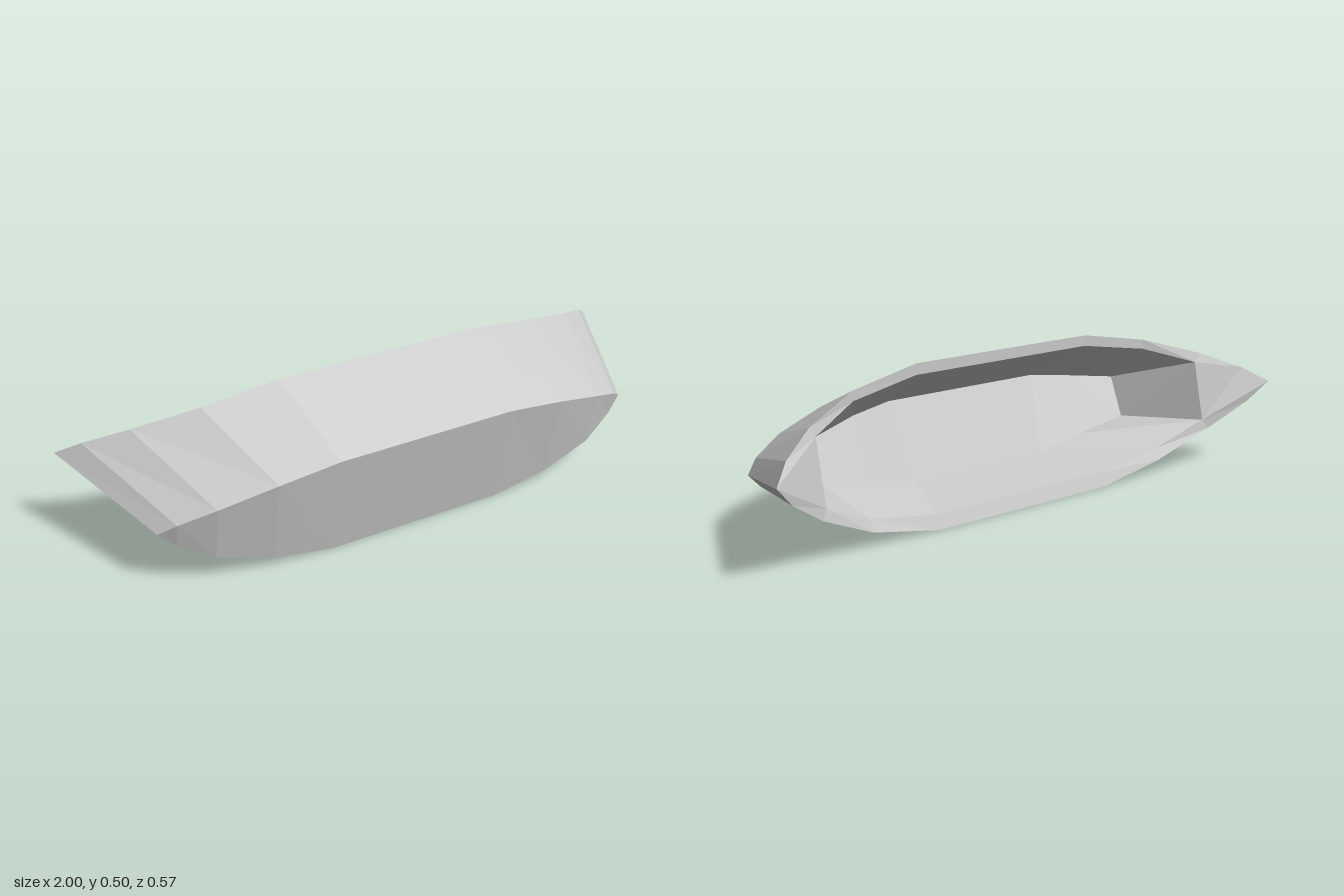
import * as THREE from 'three';

// Right half of each outline, from the lower middle round the end to the upper middle.
const RIM = [
  [0.35, 0, -0.135], [0.6, 0.05, -0.145], [0.8, 0.14, -0.19], [0.93, 0.226, -0.248], [1, 0.296, -0.285],
  [0.93, 0.345, -0.22], [0.8, 0.4, -0.135], [0.6, 0.46, -0.055], [0.35, 0.502, -0.028],
];
const BOTTOM = [
  [0.3, 0, 0.21], [0.5, 0.035, 0.21], [0.68, 0.09, 0.195], [0.79, 0.155, 0.167], [0.84, 0.203, 0.15],
  [0.79, 0.24, 0.187], [0.68, 0.285, 0.235], [0.5, 0.335, 0.275], [0.3, 0.362, 0.285],
];
// The hollow has square ends, so its corner points serve several rim points.
const squareEnd = (low, lowCorner, highCorner, high) =>
  [...low, lowCorner, lowCorner, lowCorner, highCorner, highCorner, ...high];
const OPENING = squareEnd(
  [[0.35, 0.047, -0.12], [0.6, 0.088, -0.13]], [0.78, 0.17, -0.178],
  [0.78, 0.37, -0.135], [[0.6, 0.428, -0.055], [0.35, 0.466, -0.027]],
);
const FLOOR = squareEnd(
  [[0.27, 0.087, 0.1], [0.45, 0.122, 0.093]], [0.64, 0.158, 0.083],
  [0.64, 0.292, 0.138], [[0.45, 0.318, 0.17], [0.3, 0.336, 0.193]],
);

const mirror = (points) => points.map(([x, y, z]) => [-x, y, z]).reverse();

// Full closed outline, counter-clockwise from the front
const ring = (half) => [...half, ...mirror(half), half[0]];

// Lower and upper edges of an outline, both running from -x to +x and meeting at index `end`
const lowerEdge = (half, end) => [...mirror(half.slice(0, end + 1)), ...half.slice(0, end + 1)];
const upperEdge = (half, end) => {
  const side = half.slice(8 - end).reverse();
  return [...mirror(side), ...side];
};

// Faceted strip joining two point rows
function loft(a, b) {
  const positions = [];
  for (let i = 0; i < a.length - 1; i++) {
    positions.push(...a[i], ...a[i + 1], ...b[i], ...a[i + 1], ...b[i + 1], ...b[i]);
  }
  const geometry = new THREE.BufferGeometry();
  geometry.setAttribute('position', new THREE.Float32BufferAttribute(positions, 3));
  geometry.computeVertexNormals();
  return geometry;
}

export function createModel() {
  const model = new THREE.Group();
  model.name = 'tiltedHull';
  const grey = new THREE.MeshStandardMaterial({ color: 0xcacaca });
  grey.name = 'lightGrey';

  const add = (name, a, b) => {
    const mesh = new THREE.Mesh(loft(a, b), grey);
    mesh.name = name;
    model.add(mesh);
  };

  // Outer shell
  add('outerSides', ring(RIM), ring(BOTTOM));
  add('hullBottom', lowerEdge(BOTTOM, 4), upperEdge(BOTTOM, 4));

  // Rim and hollow inside
  add('rim', ring(OPENING), ring(RIM));
  add('innerWalls', ring(FLOOR), ring(OPENING));
  add('innerFloor', upperEdge(FLOOR, 2), lowerEdge(FLOOR, 2));

  return model;
}
